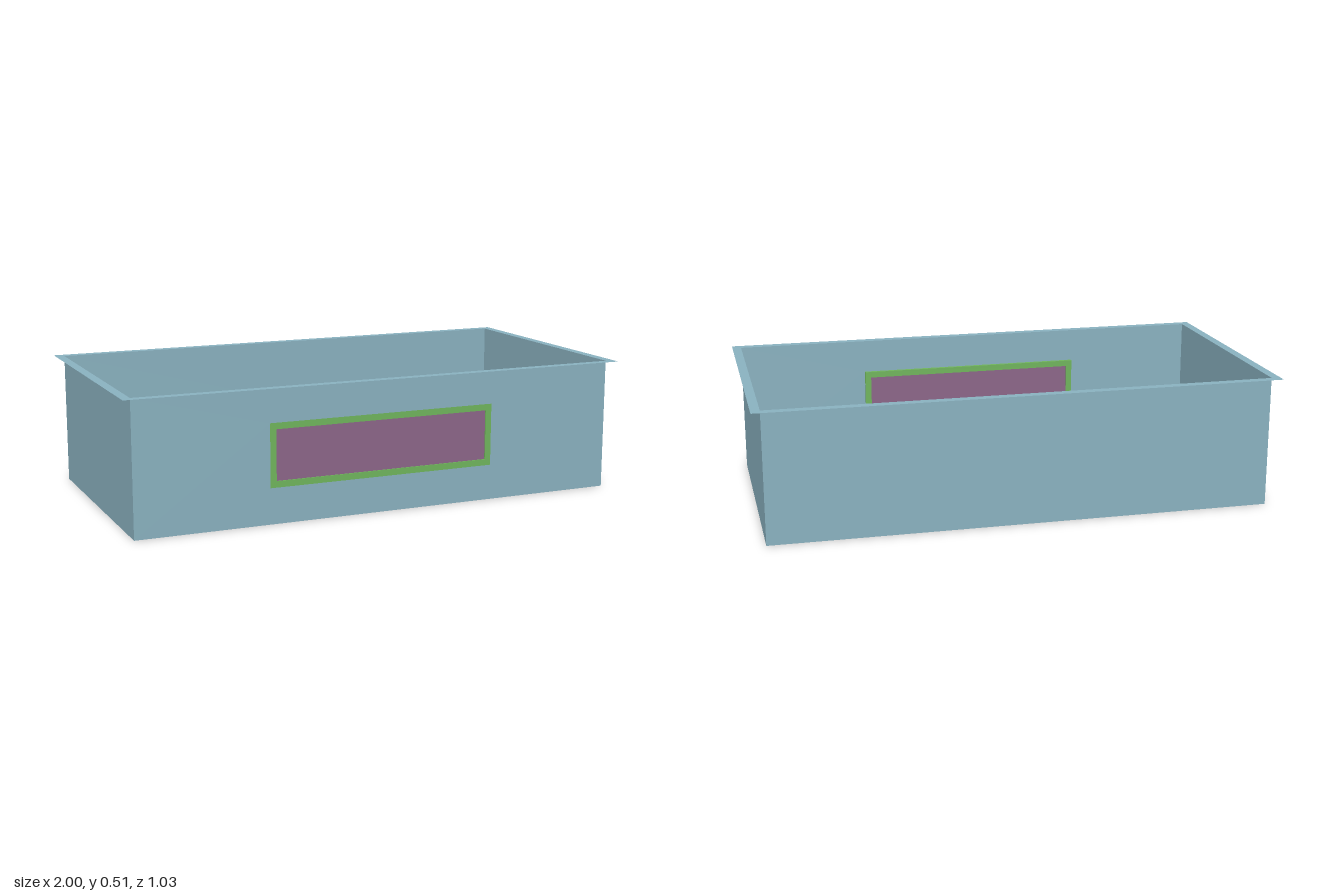
import * as THREE from 'three';

const W = 0.965, D = 0.482, H = 0.508;   // half width, half depth, height of the tray
const LIP = 0.035;                       // overhang of the rim
const FW = 0.453, FY0 = 0.136, FY1 = 0.376, BAR = 0.024; // label frame

// Rectangle outline, optionally with a rectangular hole
function rect(x0, y0, x1, y1, hole) {
  const pts = (a, b, c, d) => [[a, b], [c, b], [c, d], [a, d]].map(p => new THREE.Vector2(...p));
  const shape = new THREE.Shape(pts(x0, y0, x1, y1));
  if (hole) shape.holes.push(new THREE.Path(pts(...hole).reverse()));
  return shape;
}

export function createModel() {
  const model = new THREE.Group();
  model.name = 'tray';
  const sheet = new THREE.MeshStandardMaterial({ color: 0x8ab2c0, side: THREE.DoubleSide });
  const green = new THREE.MeshStandardMaterial({ color: 0x70b55c });
  const purple = new THREE.MeshStandardMaterial({ color: 0x8c6689 });

  function add(name, geometry, material) {
    const mesh = new THREE.Mesh(geometry, material);
    mesh.name = name;
    model.add(mesh);
    return mesh;
  }

  // Thin sheet walls; the front one is cut out for the label frame
  const opening = [-FW, FY0, FW, FY1];
  add('frontWall', new THREE.ShapeGeometry(rect(-W, 0, W, H, opening)), sheet).position.z = D;
  const back = add('backWall', new THREE.ShapeGeometry(rect(-W, 0, W, H)), sheet);
  back.position.z = -D;
  back.rotation.y = Math.PI;
  for (const s of [-1, 1]) {
    const side = add(s > 0 ? 'leftWall' : 'rightWall', new THREE.ShapeGeometry(rect(-D, 0, D, H)), sheet);
    side.position.x = s * W;
    side.rotation.y = s * Math.PI / 2;
  }

  // Floor and outward rim
  add('floor', new THREE.ShapeGeometry(rect(-W, -D, W, D)), sheet).rotation.x = -Math.PI / 2;
  const rim = add('rim', new THREE.ShapeGeometry(rect(-W - LIP, -D - LIP, W + LIP, D + LIP, [-W, -D, W, D])), sheet);
  rim.rotation.x = -Math.PI / 2;
  rim.position.y = H;

  // Label frame, flush outside and standing proud inside, with a recessed panel
  const inner = [-FW + BAR, FY0 + BAR, FW - BAR, FY1 - BAR];
  const frame = new THREE.ExtrudeGeometry(rect(...opening, inner), { depth: 0.014, bevelEnabled: false });
  add('labelFrame', frame, green).position.z = D - 0.014;
  const panel = new THREE.BoxGeometry(inner[2] - inner[0], inner[3] - inner[1], 0.005);
  add('labelPanel', panel, purple).position.set(0, (FY0 + FY1) / 2, D - 0.007);

  return model;
}
